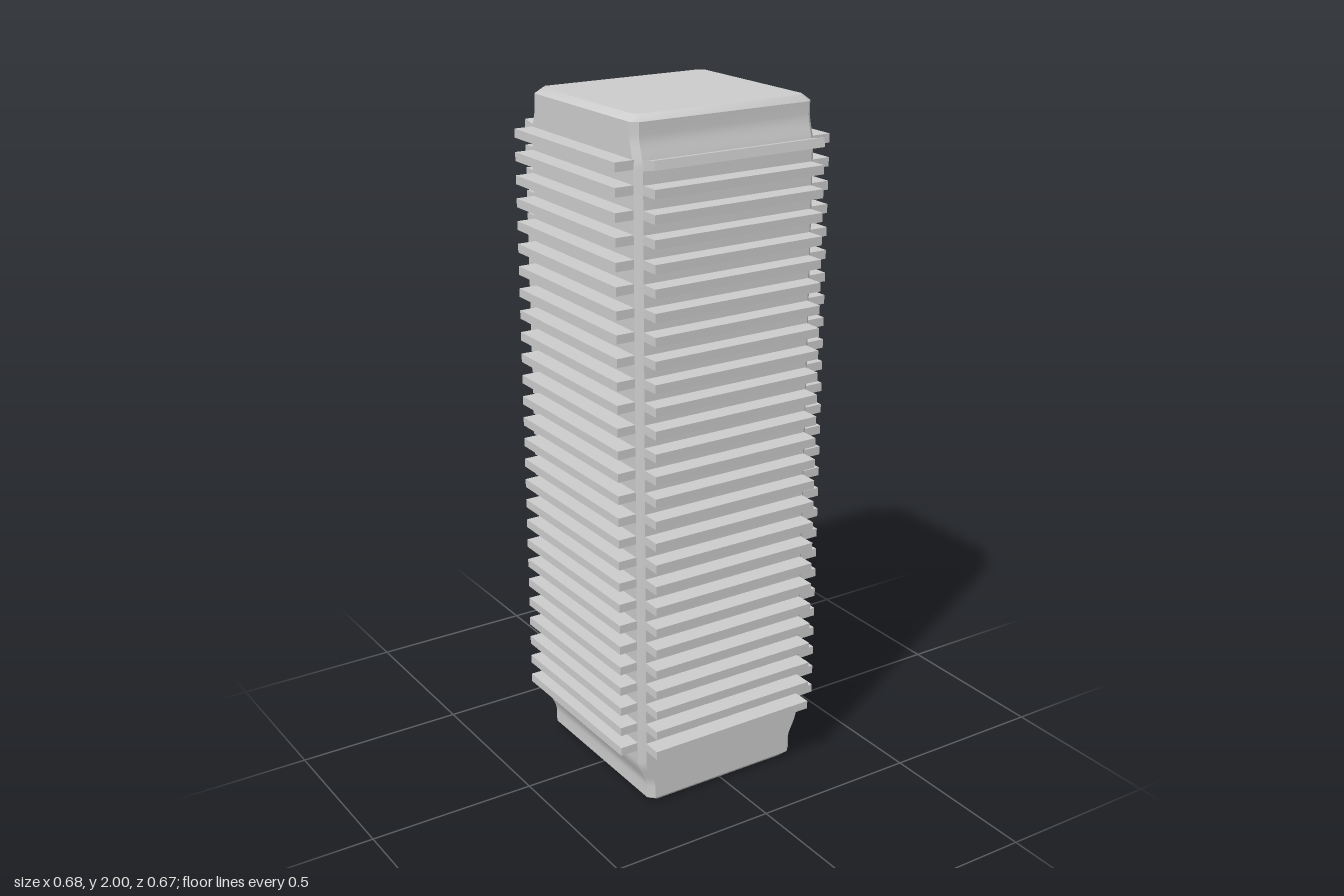
import * as THREE from 'three';
import { toCreasedNormals } from 'three/addons/utils/BufferGeometryUtils.js';

const material = new THREE.MeshStandardMaterial({ color: 0xcccccc });
const HALF_X = 0.285, HALF_Z = 0.28, CHAMFER = 0.018;
const FIN_COUNT = 27, FIN_LOW = 0.195, FIN_STEP = 0.0647, FIN_THICK = 0.025;

// Box lofted from chamfered rectangles; each section is [y, halfX, halfZ]
function loftBody(sections) {
  const pos = [], idx = [], n = 8;
  for (const [y, x, z] of sections) {
    const cx = x - CHAMFER, cz = z - CHAMFER;
    for (const [px, pz] of [[x, -cz], [x, cz], [cx, z], [-cx, z], [-x, cz], [-x, -cz], [-cx, -z], [cx, -z]]) {
      pos.push(px, y, pz);
    }
  }
  const last = sections.length - 1;
  for (let s = 0; s < last; s++) {
    for (let i = 0; i < n; i++) {
      const j = (i + 1) % n, a = s * n, b = a + n;
      idx.push(a + i, b + i, a + j, b + i, b + j, a + j);
    }
  }
  // End caps
  for (let i = 1; i < n - 1; i++) {
    idx.push(0, i, i + 1);
    idx.push(last * n, last * n + i + 1, last * n + i);
  }
  const geometry = new THREE.BufferGeometry();
  geometry.setAttribute('position', new THREE.Float32BufferAttribute(pos, 3));
  geometry.setIndex(idx);
  return toCreasedNormals(geometry, 0.6);
}

export function createModel() {
  const group = new THREE.Group();
  const add = (geometry, name, parent = group) => {
    const mesh = new THREE.Mesh(geometry, material);
    mesh.name = name;
    parent.add(mesh);
    return mesh;
  };

  // Body: foot narrows across x, head narrows across z, both on an S-curve
  const sections = [[0, 0.238, HALF_Z - 0.017], [0.017, 0.255, HALF_Z]];
  const steps = 8;
  for (let i = 0; i <= steps; i++) {
    const t = i / steps;
    sections.push([0.055 + 0.09 * t, THREE.MathUtils.lerp(0.255, HALF_X, THREE.MathUtils.smoothstep(t, 0, 1)), HALF_Z]);
  }
  for (let i = 0; i <= steps; i++) {
    const t = i / steps;
    sections.push([1.865 + 0.085 * t, HALF_X, THREE.MathUtils.lerp(HALF_Z, 0.262, THREE.MathUtils.smoothstep(t, 0, 1))]);
  }
  sections.push([1.983, HALF_X, 0.262], [2, HALF_X - 0.017, 0.245]);
  add(loftBody(sections), 'body');

  // Fins: a stack on each of the four sides
  const sideFin = new THREE.BoxGeometry(0.07, FIN_THICK, 0.524);
  const faceFin = new THREE.BoxGeometry(0.534, FIN_THICK, 0.067);
  for (const sign of [1, -1]) {
    const sideFins = new THREE.Group();
    sideFins.name = sign > 0 ? 'leftFins' : 'rightFins';
    const faceFins = new THREE.Group();
    faceFins.name = sign > 0 ? 'frontFins' : 'backFins';
    group.add(sideFins, faceFins);
    for (let i = 0; i < FIN_COUNT; i++) {
      const y = FIN_LOW + i * FIN_STEP;
      add(sideFin, 'sideFin', sideFins).position.set(sign * 0.305, y, 0);
      const fin = add(faceFin, 'faceFin', faceFins);
      fin.position.set(0, y, sign * 0.302);
      // Topmost fin tips upward at its outer edge
      if (i === FIN_COUNT - 1) {
        fin.position.y += 0.002;
        fin.rotation.x = -sign * 0.2;
      }
    }
  }
  return group;
}
